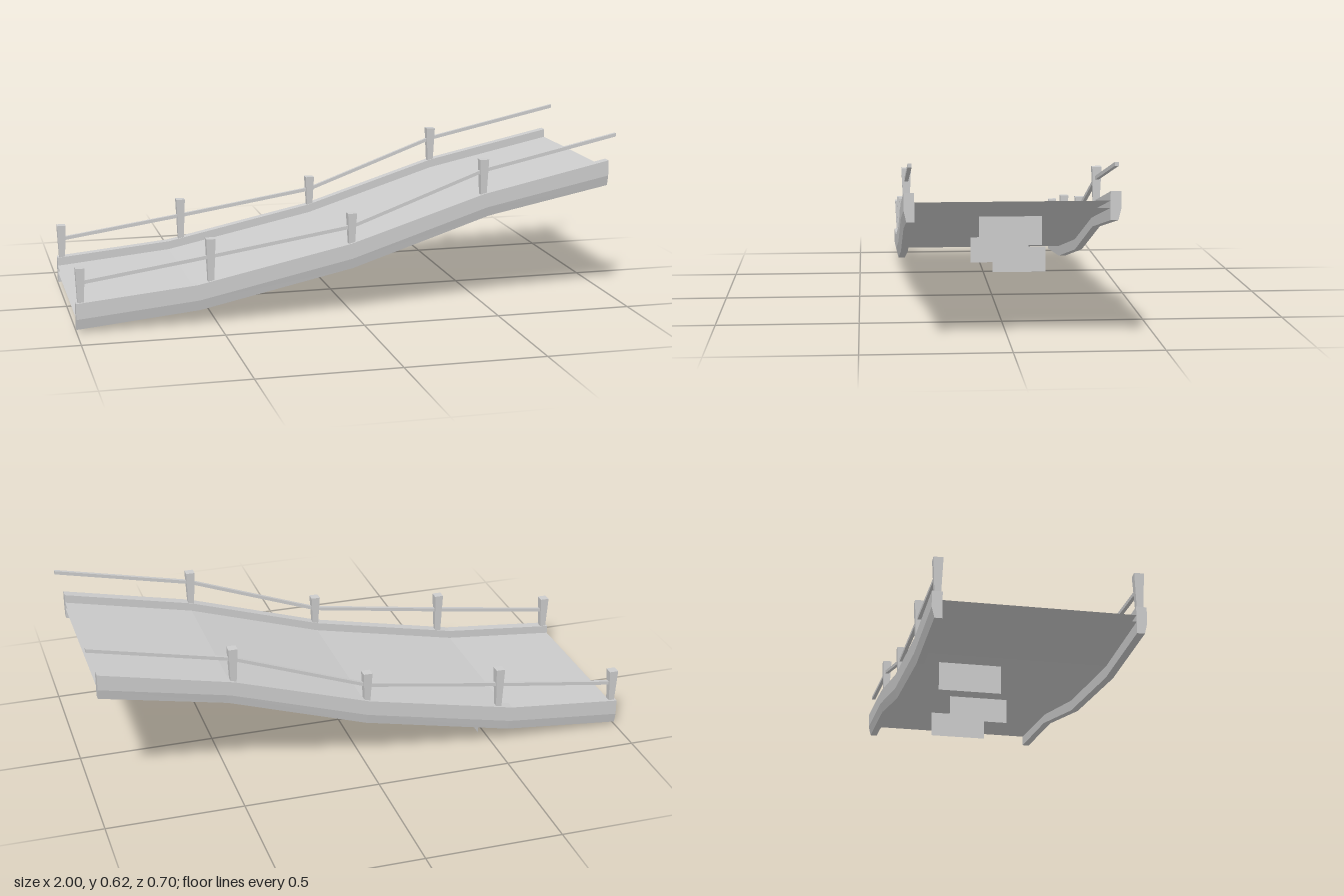
import * as THREE from 'three';

const grey = new THREE.MeshStandardMaterial({ color: 0xcccccc, side: THREE.DoubleSide, flatShading: true });
grey.name = 'lightGrey';

// Centre lines climbing towards +x: upper and lower edge of the side beams
const topLine = [[-1, 0.105], [-0.57, 0.145], [-0.01, 0.262], [0.49, 0.419], [0.97, 0.521]];
const bottomLine = [[-1, 0.009], [-0.56, 0.051], [0, 0.17], [0.513, 0.336], [0.97, 0.426]];
const railLine = [[-0.985, 0.176], [-0.52, 0.243], [-0.005, 0.322], [0.49, 0.503], [1, 0.613]];

// Skins matching rings of [x, y, z] points, optionally closing the ends
function skin(name, rings, capped) {
  const p = [];
  const tri = (a, b, c) => p.push(...a, ...b, ...c);
  const n = rings[0].length;
  for (let i = 0; i < rings.length - 1; i++) {
    for (let j = 0; j < n; j++) {
      const k = (j + 1) % n;
      const [a, b, c, d] = [rings[i][j], rings[i][k], rings[i + 1][k], rings[i + 1][j]];
      tri(a, b, c);
      tri(a, c, d);
    }
  }
  if (capped) {
    const first = rings[0], last = rings[rings.length - 1];
    for (let j = 1; j < n - 1; j++) {
      tri(first[0], first[j + 1], first[j]);
      tri(last[0], last[j], last[j + 1]);
    }
  }
  const g = new THREE.BufferGeometry();
  g.setAttribute('position', new THREE.Float32BufferAttribute(p, 3));
  g.computeVertexNormals();
  return named(name, g);
}

function named(name, geometry) {
  const mesh = new THREE.Mesh(geometry, grey);
  mesh.name = name;
  return mesh;
}

// Rectangle ring around a point of a path
const rectRing = (x, y0, y1, z0, z1) => [[x, y1, z0], [x, y1, z1], [x, y0, z1], [x, y0, z0]];

export function createModel() {
  const model = new THREE.Group();
  model.name = 'slopedBridge';

  // Walkway: two sheets with open ends
  model.add(skin('deck', topLine.map(([x, y]) => rectRing(x, y - 0.055, y - 0.031, -0.328, 0.328)), false));

  for (const side of [1, -1]) {
    const label = side > 0 ? 'left' : 'right';

    // Side beam with its outer face slanting in at the bottom: [share of height, z]
    const profile = [[0, 0.317], [0, 0.352], [0.6, 0.352], [1, 0.343], [1, 0.317]];
    if (side < 0) profile.reverse();
    const rings = topLine.map(([tx, ty], i) => {
      const [bx, by] = bottomLine[i];
      return profile.map(([t, z]) => [tx + (bx - tx) * t, ty + (by - ty) * t, z * side]);
    });
    model.add(skin(label + 'Beam', rings, true));

    // Handrail
    const z = 0.332 * side, r = 0.0065;
    model.add(skin(label + 'Handrail',
      railLine.map(([x, y]) => rectRing(x, y - r, y + r, z - r, z + r)), true));

    // Posts, wider at the top: [x, foot, head]
    for (const [x, foot, head] of [[-0.982, 0.095, 0.23], [-0.52, 0.145, 0.308], [-0.005, 0.25, 0.372], [0.49, 0.405, 0.545]]) {
      const g = new THREE.CylinderGeometry(0.0165 * Math.SQRT2, 0.0105 * Math.SQRT2, head - foot, 4);
      g.rotateY(Math.PI / 4);
      const post = named(label + 'Post', g);
      post.position.set(x, (foot + head) / 2, z);
      model.add(post);
    }
  }

  // Upright plates under the deck: [x, bottom, top, centre z]
  for (const [x, y0, y1, z] of [[-0.477, 0, 0.104, -0.145], [0.09, 0.14, 0.235, -0.023], [0.6, 0.287, 0.389, -0.023]]) {
    const plate = named('supportPlate', new THREE.PlaneGeometry(0.217, y1 - y0));
    plate.rotation.y = Math.PI / 2;
    plate.position.set(x, (y0 + y1) / 2, z);
    model.add(plate);
  }
  return model;
}
